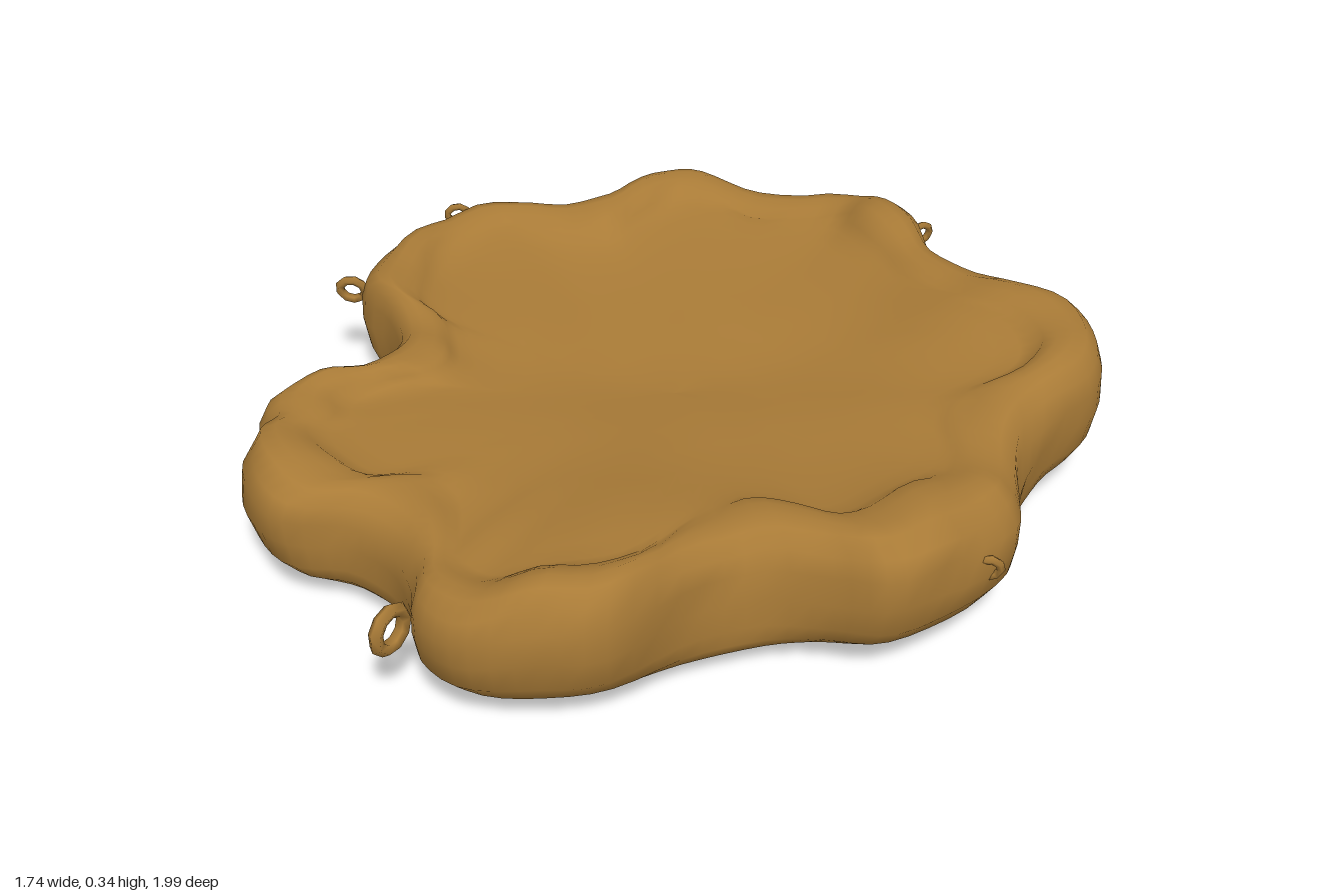
import * as THREE from 'three';

// Outer edge, clockwise from the back: x, z, rim height
const EDGE = [
  0.10, -1.0, 0.28, 0.2, -0.95, 0.32, 0.31, -0.85, 0.32, 0.40, -0.73, 0.30, 0.52, -0.65, 0.31,
  0.65, -0.6, 0.33, 0.79, -0.53, 0.34, 0.86, -0.39, 0.34, 0.87, -0.28, 0.33, 0.81, -0.15, 0.31,
  0.79, 0, 0.29, 0.82, 0.15, 0.29, 0.84, 0.25, 0.30, 0.78, 0.42, 0.32, 0.69, 0.54, 0.32,
  0.58, 0.55, 0.31, 0.45, 0.58, 0.30, 0.35, 0.68, 0.30, 0.27, 0.86, 0.32, 0.15, 0.93, 0.32,
  0.02, 0.96, 0.27, -0.09, 0.91, 0.26, -0.15, 0.82, 0.25, -0.24, 0.74, 0.25, -0.36, 0.71, 0.26,
  -0.48, 0.75, 0.27, -0.58, 0.70, 0.28, -0.66, 0.6, 0.28, -0.67, 0.52, 0.27, -0.72, 0.44, 0.27,
  -0.69, 0.35, 0.28, -0.62, 0.27, 0.28, -0.59, 0.15, 0.27, -0.62, 0.05, 0.26, -0.70, -0.04, 0.27,
  -0.80, -0.1, 0.28, -0.83, -0.25, 0.28, -0.82, -0.45, 0.27, -0.75, -0.59, 0.27, -0.6, -0.64, 0.28,
  -0.48, -0.71, 0.29, -0.43, -0.83, 0.30, -0.36, -0.94, 0.30, -0.25, -0.96, 0.28, -0.1, -0.96, 0.26,
];

// Rounded side: inset, height from base (0) to rim (1), share of the smoothed outline
const SIDE = [[0.1, 0, 1], [0.06, 0.04, 0.8], [0.03, 0.13, 0.5], [0.01, 0.27, 0.2], [0, 0.5, 0], [0.004, 0.72, 0], [0.02, 0.88, 0]];
// Rim crest: inset in rim widths, height
const CREST = [[0.3, 0.98], [0.5, 1], [0.72, 0.97], [0.9, 0.93]];
// Inner slope: share of the inner radius, blend from rim to floor height
const HOLLOW = [[0.99, 0.35], [0.95, 0.65], [0.88, 0.85], [0.76, 0.95], [0.6, 1], [0.45, 1], [0.3, 1], [0.15, 1], [0, 1]];
const SEGMENTS = 150;
const CX = 0.03;
const { lerp, smoothstep } = THREE.MathUtils;

const bump = (x, z, bx, bz, size) => Math.exp(-((x - bx) ** 2 + (z - bz) ** 2) / (size * size));
const baseHeight = (x, z) => 0.035 + 0.02 * x - 0.008 * bump(x, z, -0.03, 0.6, 0.2);
const ripple = (x, z) => Math.sin(9 * x + 4 * z) * Math.sin(8 * z - 3 * x + 1) + 0.5 * Math.sin(17 * x - 13 * z);
// Shallow floor: round hollow, raised patches at the back left and the front
const floorHeight = (x, z) =>
  0.243 + 0.03 * x - 0.05 * bump(x, z, 0.02, -0.12, 0.45) + 0.05 * bump(x, z, 0.57, -0.4, 0.18)
  + 0.035 * bump(x, z, 0.15, 0.6, 0.25) + 0.008 * ripple(x, z);
const rimWidth = (x, z) => 0.165 + 0.025 * x + 0.02 * Math.sin(5 * x - 3 * z) + 0.02 * Math.sin(13 * z + 4 * x);

function slabGeometry() {
  const points = [];
  for (let i = 0; i < EDGE.length; i += 3) points.push(new THREE.Vector3(EDGE[i], EDGE[i + 2], EDGE[i + 1]));
  const edge = new THREE.CatmullRomCurve3(points, true).getPoints(SEGMENTS).slice(0, SEGMENTS);
  const reach = edge.map((p) => Math.hypot(p.x - CX, p.z));
  // The underside follows a smoother outline than the rim
  const smoothReach = reach.map((_, j) => {
    let sum = 0;
    for (let k = -6; k <= 6; k++) sum += reach[(j + k + SEGMENTS) % SEGMENTS];
    return sum / 13;
  });
  const rings = [];

  // One closed ring: each edge point is moved to a new radius and height
  const addRing = (radiusAt, heightAt) => rings.push(edge.map((p, j) => {
    const radius = radiusAt(p, reach[j], smoothReach[j]);
    const x = CX + (p.x - CX) * radius / reach[j];
    const z = p.z * radius / reach[j];
    return [x, heightAt(p, x, z), z];
  }));
  const sideHeight = (p, x, z, h) => lerp(baseHeight(x, z), p.y, h) + 0.006 * h * ripple(x * 2, z * 2);

  // Flat underside
  for (const f of [0, 0.35, 0.7]) addRing((p, length) => f * length, (p, x, z) => baseHeight(x, z));

  // Rounded side
  for (const [inset, h, share] of SIDE) {
    addRing(
      (p, length, smooth) => lerp(length, Math.min(smooth, length + 0.07), share) - inset
        - 0.008 * h * ripple(p.x * 1.3, p.z * 1.3 + h),
      (p, x, z) => sideHeight(p, x, z, h),
    );
  }
  // Raised rim
  for (const [inset, h] of CREST) {
    addRing((p, length) => length - inset * rimWidth(p.x, p.z), (p, x, z) => sideHeight(p, x, z, h));
  }

  // Inner slope down to the dished floor, with the lobes fading into a rounder hollow
  for (const [f, drop] of HOLLOW) {
    addRing(
      (p, length) => lerp(0.62 * f, (length - 0.95 * rimWidth(p.x, p.z)) * f, smoothstep(f, 0.2, 0.9)),
      (p, x, z) => lerp(p.y * 0.94, Math.min(floorHeight(x, z), lerp(0.32, p.y * 0.91, f)), drop),
    );
  }

  const index = [];
  for (let i = 0; i < rings.length - 1; i++) {
    for (let j = 0; j < SEGMENTS; j++) {
      const a = i * SEGMENTS + j, b = i * SEGMENTS + (j + 1) % SEGMENTS;
      const c = a + SEGMENTS, d = b + SEGMENTS;
      if (i > 0) index.push(a, c, b);
      else index.push(a, c, d);
      if (i > 0 && i < rings.length - 2) index.push(b, c, d);
    }
  }
  const geometry = new THREE.BufferGeometry();
  geometry.setAttribute('position', new THREE.Float32BufferAttribute(rings.flat(2), 3));
  geometry.setIndex(index);
  geometry.computeVertexNormals();
  return geometry;
}

export function createModel() {
  const group = new THREE.Group();
  group.name = 'dishedSlab';
  const brown = new THREE.MeshStandardMaterial({ color: 0xa97b37 });
  brown.name = 'earthBrown';

  const add = (geometry, name) => {
    const mesh = new THREE.Mesh(geometry, brown);
    mesh.name = name;
    group.add(mesh);
    return mesh;
  };
  add(slabGeometry(), 'slab');

  // Small curled scraps rooted in the edge: x, y, z, turn, size
  const curls = [
    [-0.83, 0.22, -0.11, 0.3, 0.03], [-0.125, 0.18, 0.935, 1.4, 0.04], [0.31, 0.25, -0.86, 0.8, 0.025],
    [0.81, 0.19, 0.34, 0.3, 0.025], [-0.78, 0.24, -0.53, 0.5, 0.025], [-0.69, 0.21, 0.37, 0.4, 0.025],
  ];
  for (const [x, y, z, turn, size] of curls) {
    const curl = add(new THREE.TorusGeometry(size, size * 0.36, 5, 9), 'curledScrap');
    curl.position.set(x, y, z);
    curl.rotation.set(0.3, turn, 0.5);
  }

  // Small spur under the front
  const spur = add(new THREE.ConeGeometry(0.02, 0.04, 6), 'undersideSpur');
  spur.rotation.x = Math.PI;
  spur.scale.z = 3;
  spur.position.set(-0.03, 0.022, 0.63);
  return group;
}
